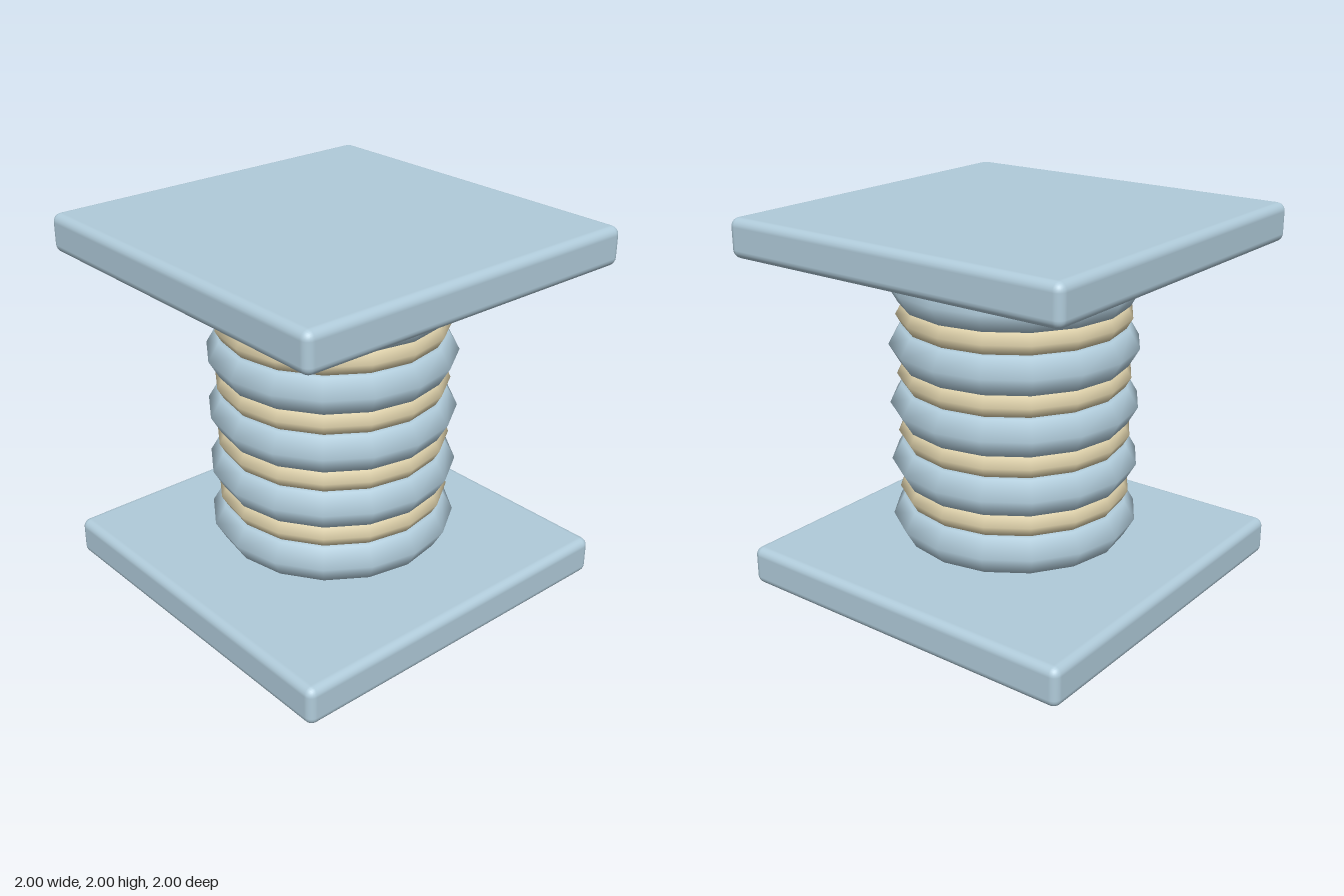
import * as THREE from 'three';
import { RoundedBoxGeometry } from 'three/addons/geometries/RoundedBoxGeometry.js';
import { toCreasedNormals } from 'three/addons/utils/BufferGeometryUtils.js';

export function createModel() {
  const model = new THREE.Group();
  const steel = new THREE.MeshStandardMaterial({ color: 0xb0cbda });
  steel.name = 'pale blue steel';
  const sand = new THREE.MeshStandardMaterial({ color: 0xdccfa9 });
  sand.name = 'sand';

  const add = (name, geometry, material, y, z = 0) => {
    const mesh = new THREE.Mesh(geometry, material);
    mesh.name = name;
    mesh.position.set(0, y, z);
    model.add(mesh);
    return mesh;
  };
  const turned = (points, sides) => toCreasedNormals(
    new THREE.LatheGeometry(points.map(([r, y]) => new THREE.Vector2(r, y)), sides), 0.5);

  // End plates with softened edges
  add('basePlate', new RoundedBoxGeometry(2, 0.21, 2, 3, 0.045), steel, 0.105);
  add('topPlate', new RoundedBoxGeometry(2, 0.205, 2, 3, 0.045), steel, 1.8975);

  // Damper: wide lower body, narrow rod with a tapered head
  add('damperBody', turned(
    [[0, 0.2], [0.265, 0.2], [0.265, 0.215], [0.292, 0.245], [0.292, 0.875], [0.265, 0.905], [0, 0.905]], 16), steel, 0);
  add('damperRod', turned(
    [[0, 0.88], [0.158, 0.88], [0.158, 1.74], [0.1, 1.8], [0, 1.8]], 16), steel, 0);

  // Inlaid strip on the front of the damper body
  add('frontStrip', new RoundedBoxGeometry(0.16, 0.56, 0.04, 1, 0.012), sand, 0.525, 0.285);

  // Alternating stack of large and small hexagonal-section rings
  const ring = (radius, tube) => new THREE.TorusGeometry(radius, tube, 6, 16).rotateX(Math.PI / 2);
  const largeRing = ring(0.542, 0.1125);
  const smallRing = ring(0.551, 0.064);
  const step = 0.317;
  for (let i = 0; i < 5; i++) {
    add('largeRing' + (i + 1), largeRing, steel, 0.37 + i * step);
    if (i < 4) add('smallRing' + (i + 1), smallRing, sand, 0.37 + (i + 0.5) * step);
  }
  return model;
}
